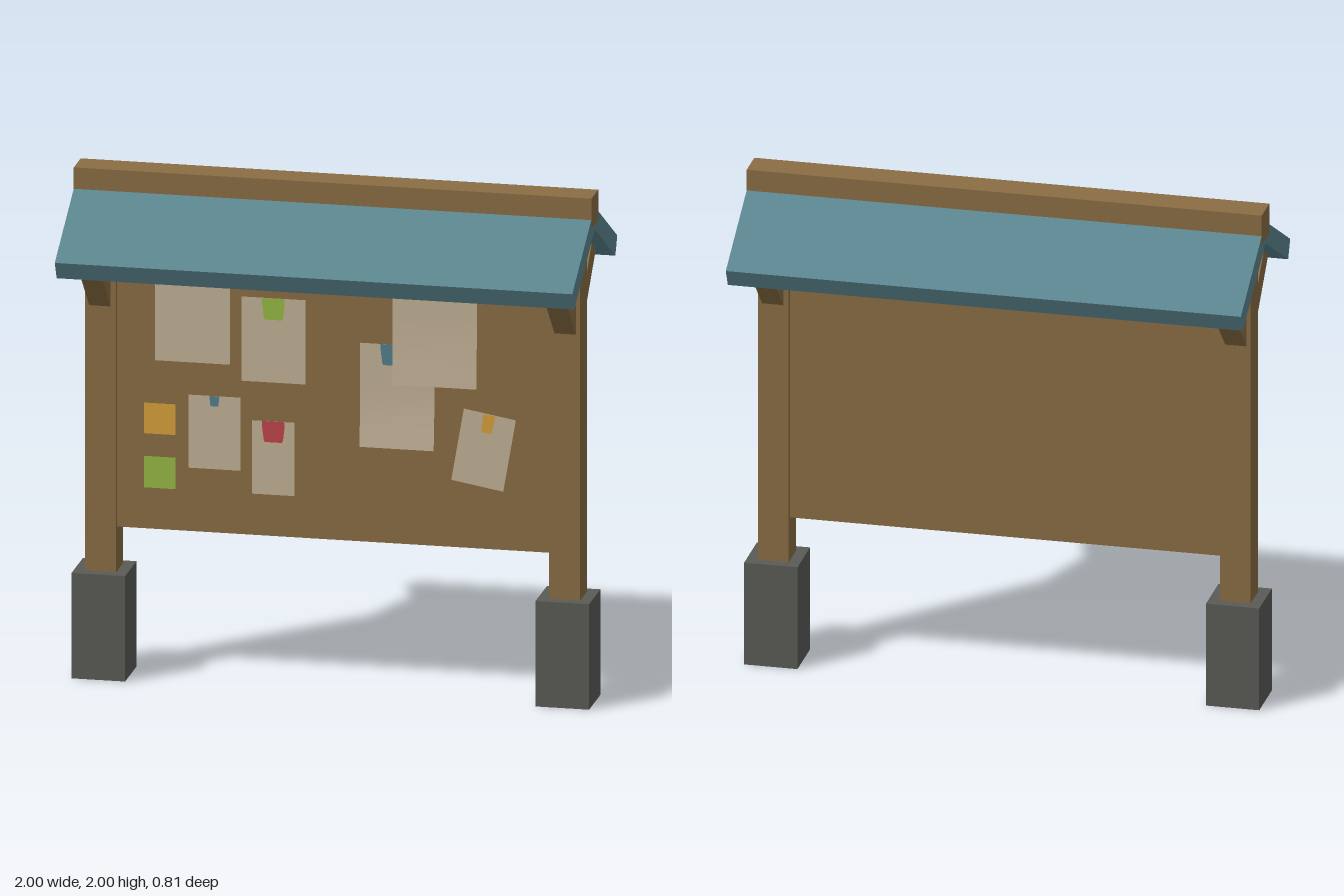
import * as THREE from 'three';

const mat = (name, color) => {
  const m = new THREE.MeshStandardMaterial({ color });
  m.name = name;
  return m;
};

export function createModel() {
  const model = new THREE.Group();
  model.name = 'noticeBoard';

  const wood = mat('wood', 0x8a6d44);
  const roofTeal = mat('roofTeal', 0x5b858f);
  const stone = mat('stone', 0x5a5a56);
  const paper = mat('paper', 0xc2b196);
  const red = mat('red', 0xc0444a);
  const green = mat('green', 0x97b844);
  const orange = mat('orange', 0xd8a03c);
  const blue = mat('blue', 0x51808f);
  for (const m of [paper, red, green, orange, blue]) m.side = THREE.DoubleSide;
  const woodSheet = mat('wood', 0x8a6d44);
  woodSheet.side = THREE.DoubleSide;

  const add = (name, geometry, material, parent = model) => {
    const mesh = new THREE.Mesh(geometry, material);
    mesh.name = name;
    parent.add(mesh);
    return mesh;
  };

  // Box given by its limits on each axis
  const box = (name, x0, x1, y0, y1, z0, z1, material) =>
    add(name, new THREE.BoxGeometry(x1 - x0, y1 - y0, z1 - z0), material)
      .position.set((x0 + x1) / 2, (y0 + y1) / 2, (z0 + z1) / 2);

  // Profile of [z, y] points extruded along x, centred on xMid
  const beam = (name, points, width, xMid, material) => {
    const shape = new THREE.Shape(points.map(([z, y]) => new THREE.Vector2(-z, y)));
    const g = new THREE.ExtrudeGeometry(shape, { depth: width, bevelEnabled: false });
    g.translate(0, 0, -width / 2).rotateY(Math.PI / 2);
    add(name, g, material).position.x = xMid;
  };

  // Footings, posts and roof braces
  const brace = [[0.05, 1.45], [0.3, 1.7], [0.222, 1.74], [0.05, 1.56]];
  for (const s of [-1, 1]) {
    const side = s > 0 ? 'left' : 'right';
    const xs = (a, b) => (s > 0 ? [a, b] : [-b, -a]);
    box(side + 'Footing', ...xs(0.793, 1), 0, 0.415, -0.103, 0.103, stone);
    box(side + 'Post', ...xs(0.837, 0.957), 0.4, 1.862, -0.061, 0.061, wood);
    for (const f of [-1, 1]) {
      beam(side + (f > 0 ? 'FrontBrace' : 'BackBrace'),
        brace.map(([z, y]) => [z * f, y]), 0.083, s * 0.899, wood);
    }
  }

  // Board panel
  box('boardPanel', -0.84, 0.84, 0.59, 1.82, -0.041, 0.041, wood);

  // Gabled roof, notched for the ridge beam
  const half = [[0.37, 1.652], [0.404, 1.722], [0.0625, 1.916], [0.0625, 1.88]];
  beam('roof', [[0, 1.862], ...half, ...half.map(([z, y]) => [-z, y]).reverse()], 2, 0, roofTeal);
  box('ridgeBeam', -1, 1, 1.88, 2, -0.0625, 0.0625, wood);

  // Thin sheet; its lower part may lift away from the board
  const sheet = (name, x0, x1, y0, y1, z, material, lift = 0) => {
    const g = new THREE.PlaneGeometry(x1 - x0, y1 - y0, 1, 5);
    const p = g.attributes.position, h = y1 - y0;
    for (let i = 0; i < p.count; i++) {
      const t = 0.5 - p.getY(i) / h;
      p.setZ(i, lift * Math.max(0, (t - 0.6) / 0.4));
    }
    g.computeVertexNormals();
    const m = add(name, g, material);
    m.position.set((x0 + x1) / 2, (y0 + y1) / 2, z);
    return m;
  };

  // Tape tab, slightly narrower at its lower end
  const tab = (name, x, top, w, h, z, material) => {
    const a = w / 2, b = a * 0.88;
    const shape = new THREE.Shape([[-a, 0], [-a, -h * 0.3], [-b, -h * 0.85], [-b * 0.9, -h],
      [b * 0.9, -h], [b, -h * 0.85], [a, -h * 0.3], [a, 0]].map(([u, v]) => new THREE.Vector2(u, v)));
    const m = add(name, new THREE.ShapeGeometry(shape), material);
    m.position.set(x, top, z);
    return m;
  };

  // Notices: x0, x1, y0, y1, z, lift, then tab x, width, height, colour
  const notices = [
    [-0.69, -0.4, 1.255, 1.69, 0.045, 0, -0.545, 0.125, 0.1, red],
    [-0.355, -0.108, 1.195, 1.527, 0.045, 0, -0.232, 0.086, 0.085, green],
    [0.103, 0.39, 0.967, 1.373, 0.045, 0.014, 0.226, 0.086, 0.082, blue],
    [0.23, 0.555, 1.22, 1.68, 0.05, 0.01, 0.393, 0.086, 0.09, red],
    [-0.56, -0.36, 0.84, 1.128, 0.045, 0, -0.46, 0.036, 0.04, blue],
    [-0.315, -0.15, 0.753, 1.042, 0.045, 0, -0.232, 0.086, 0.082, red],
  ];
  notices.forEach(([x0, x1, y0, y1, z, lift, tx, tw, th, colour], i) => {
    sheet('notice' + (i + 1), x0, x1, y0, y1, z, paper, lift);
    tab('noticeTab' + (i + 1), tx, y1, tw, th, z + 0.002, colour);
  });

  // Small square notes
  sheet('orangeNote', -0.733, -0.61, 0.965, 1.086, 0.045, orange);
  sheet('greenNote', -0.733, -0.61, 0.752, 0.876, 0.045, green);

  // Tilted notice with a brown sheet behind it
  const tilt = -0.17;
  sheet('tiltedBackSheet', 0.497, 0.701, 0.793, 1.083, 0.044, woodSheet).rotation.z = tilt;
  sheet('tiltedNotice', 0.479, 0.683, 0.837, 1.125, 0.05, paper).rotation.z = tilt;
  tab('tiltedNoticeTab', 0.604, 1.12, 0.046, 0.072, 0.052, orange).rotation.z = tilt;

  return model;
}
